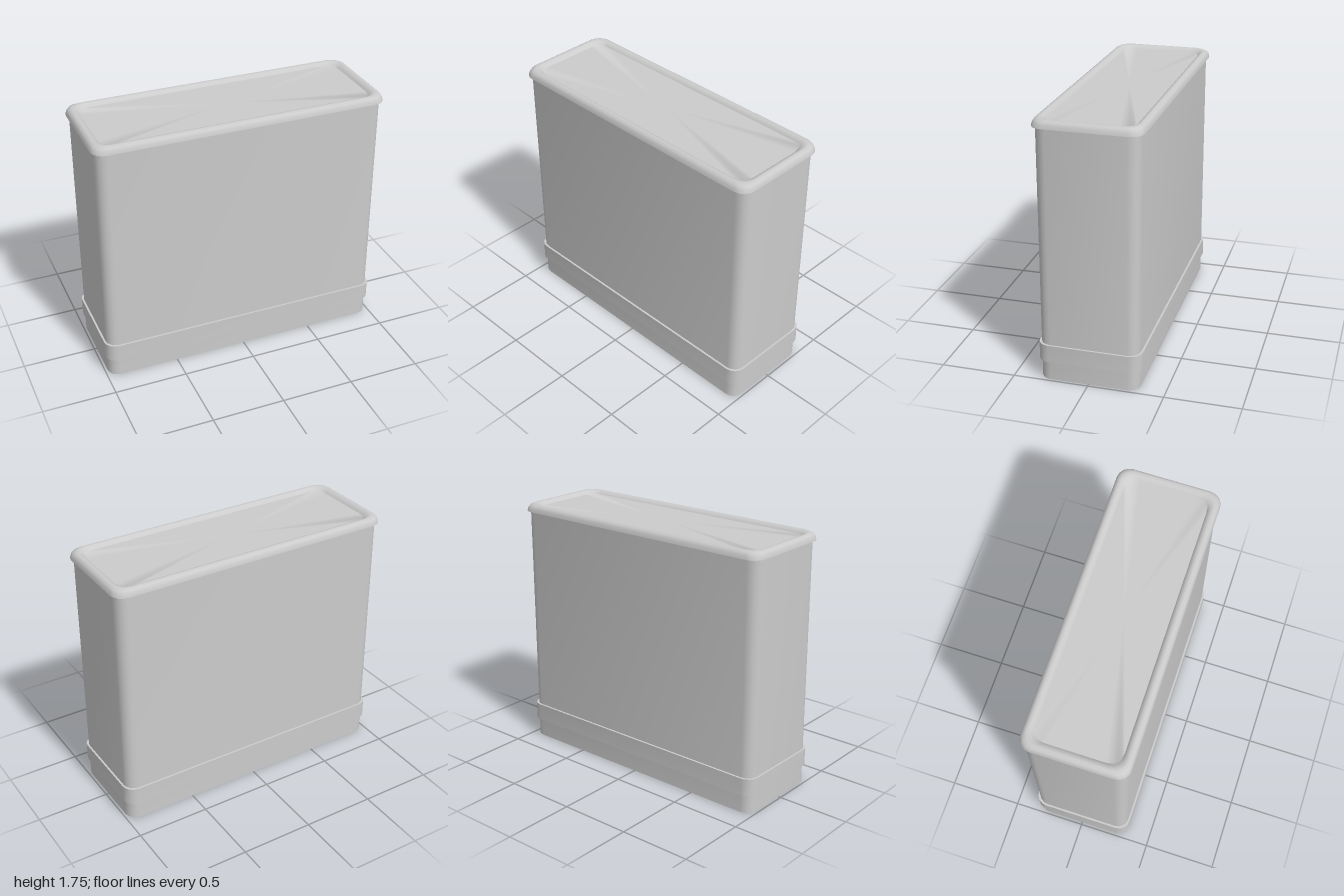
import * as THREE from 'three';
import { toCreasedNormals } from 'three/addons/utils/BufferGeometryUtils.js';

const CORNER_SEGMENTS = 4;

// Rounded-rectangle outline at height y, walked from +x towards +z
function ring([hx, hz, y], r) {
  const pts = [];
  for (let c = 0; c < 4; c++) {
    const sx = c === 0 || c === 3 ? 1 : -1;
    const sz = c < 2 ? 1 : -1;
    for (let i = 0; i <= CORNER_SEGMENTS; i++) {
      const a = (c + i / CORNER_SEGMENTS) * Math.PI / 2;
      pts.push([sx * (hx - r) + r * Math.cos(a), y, sz * (hz - r) + r * Math.sin(a)]);
    }
  }
  return pts;
}

// Skin through a list of [halfWidth, halfDepth, y] sections, optionally closed by a flat panel
function loft(name, sections, r, capped = false) {
  const rings = sections.map((s) => ring(s, r));
  const n = rings[0].length;
  const pos = [];
  for (let k = 0; k < rings.length - 1; k++) {
    for (let j = 0; j < n; j++) {
      const a = rings[k][j], b = rings[k][(j + 1) % n];
      const c = rings[k + 1][j], d = rings[k + 1][(j + 1) % n];
      pos.push(...a, ...c, ...b, ...b, ...c, ...d);
    }
  }
  if (capped) {
    const top = rings[rings.length - 1];
    for (let j = 0; j < n; j++) pos.push(0, top[0][1], 0, ...top[(j + 1) % n], ...top[j]);
  }
  const geo = new THREE.BufferGeometry();
  geo.setAttribute('position', new THREE.Float32BufferAttribute(pos, 3));
  const mesh = new THREE.Mesh(
    toCreasedNormals(geo, 0.75),
    new THREE.MeshStandardMaterial({ color: 0xcccccc, side: THREE.DoubleSide })
  );
  mesh.name = name;
  return mesh;
}

export function createModel() {
  const group = new THREE.Group();
  group.name = 'container';
  const X = 0.982, Z = 0.329;    // wall half sizes
  const BX = 0.995, BZ = 0.343;  // raised band half sizes

  // Thin walls, open at the bottom
  group.add(loft('skirt', [[X, Z, 0], [X, Z, 0.13]], 0.075));
  group.add(loft('walls', [[X, Z, 0.25], [X, Z, 1.7]], 0.075));

  // Hollow band stepping out of the wall
  group.add(loft('band', [[X, Z, 0.13], [BX, BZ, 0.13], [BX, BZ, 0.25], [X, Z, 0.25]], 0.08));

  // Lid: overhanging lip, rounded bead and slightly sunken panel
  group.add(loft('lid', [
    [X, Z, 1.7], [1, 0.351, 1.7], [0.996, 0.347, 1.722], [0.986, 0.337, 1.74],
    [0.968, 0.319, 1.75], [0.95, 0.301, 1.746], [0.935, 0.288, 1.736], [0.925, 0.28, 1.725],
  ], 0.085, true));

  return group;
}
